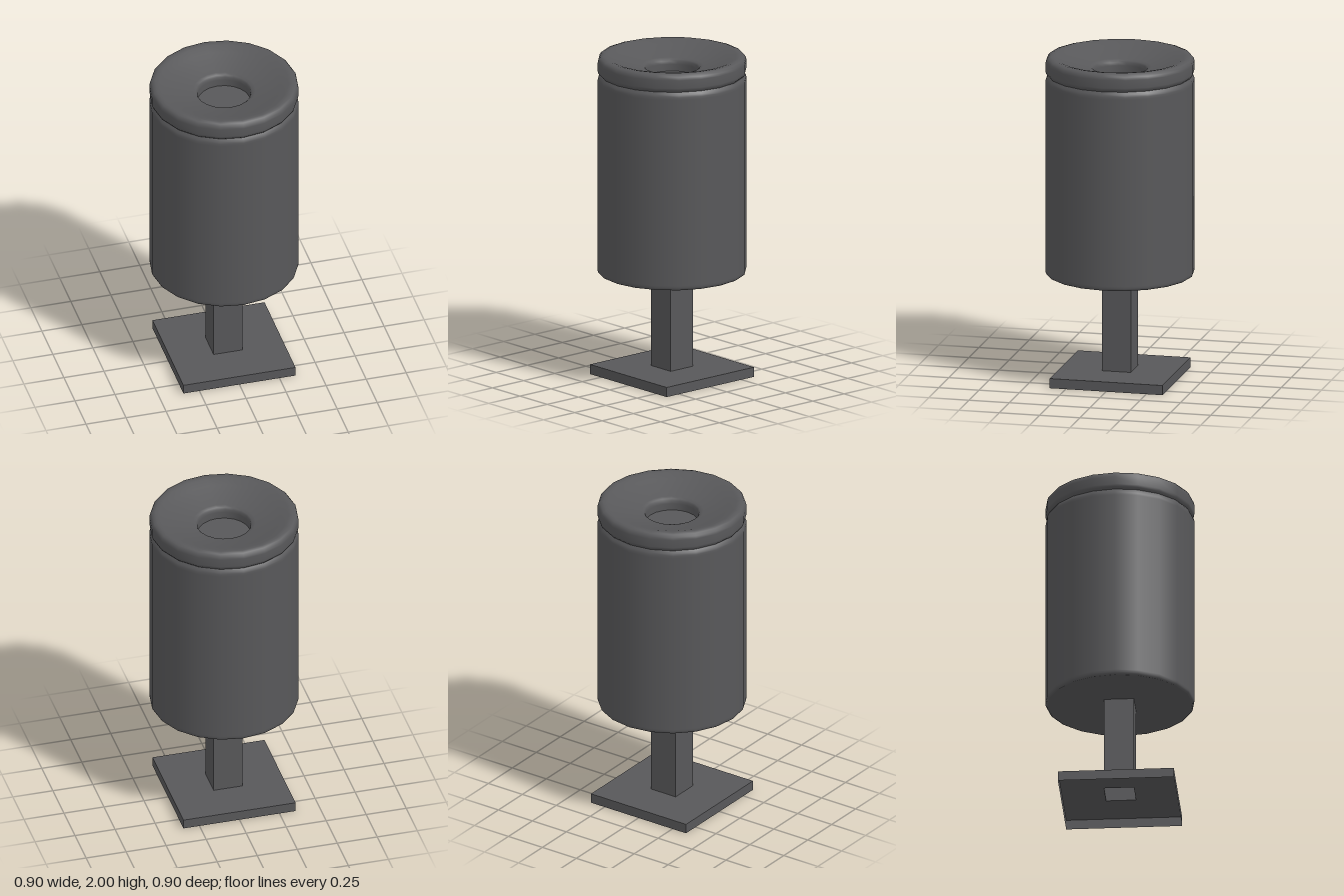
import * as THREE from 'three';

const SIDES = 20;

export function createModel() {
  const model = new THREE.Group();
  model.name = 'pedestalBin';
  const metal = new THREE.MeshStandardMaterial({ color: 0x58585a });
  metal.name = 'dark grey metal';
  metal.side = THREE.DoubleSide;

  const add = (name, geometry, y = 0) => {
    const mesh = new THREE.Mesh(geometry, metal);
    mesh.name = name;
    mesh.position.y = y;
    model.add(mesh);
    return mesh;
  };
  const lathe = (points) =>
    new THREE.LatheGeometry(points.map(([r, y]) => new THREE.Vector2(r, y)), SIDES);
  const disc = (radius, facing) =>
    new THREE.CircleGeometry(radius, SIDES).rotateX(-facing * Math.PI / 2);
  // Four upright walls, open at both ends
  const squareTube = (width, height) =>
    new THREE.CylinderGeometry(width / Math.SQRT2, width / Math.SQRT2, height, 4, 1, true)
      .rotateY(Math.PI / 4).toNonIndexed();
  const flat = (geometry) => {
    geometry.computeVertexNormals();
    return geometry;
  };

  // Base: shallow tray open underneath, its top pierced by the hollow post
  add('baseSides', flat(squareTube(0.7, 0.06)), 0.03);
  const square = (path, h) => path.moveTo(-h, -h).lineTo(h, -h).lineTo(h, h).lineTo(-h, h).closePath();
  const plate = square(new THREE.Shape(), 0.35);
  plate.holes.push(square(new THREE.Path(), 0.09));
  add('baseTop', new THREE.ShapeGeometry(plate).rotateX(-Math.PI / 2), 0.06);
  add('post', flat(squareTube(0.18, 0.59)), 0.355);

  // Can with softened lower edge and shoulder
  add('canBody', lathe([
    [0.437, 0.65], [0.446, 0.655], [0.45, 0.667], [0.45, 0.68],
    [0.45, 1.84], [0.45, 1.855], [0.446, 1.87], [0.435, 1.885],
  ]));
  add('canBottom', disc(0.437, -1), 0.65);

  // Rounded lid dishing down to the central opening
  add('lid', lathe([
    [0.435, 1.885], [0.446, 1.897], [0.45, 1.912], [0.45, 1.962],
    [0.446, 1.98], [0.435, 1.994], [0.415, 2], [0.39, 1.996],
    [0.34, 1.979], [0.26, 1.953], [0.19, 1.935],
    [0.17, 1.929], [0.162, 1.918], [0.16, 1.9], [0.16, 1.855],
  ]));
  add('openingFloor', disc(0.162, 1), 1.857);

  return model;
}
